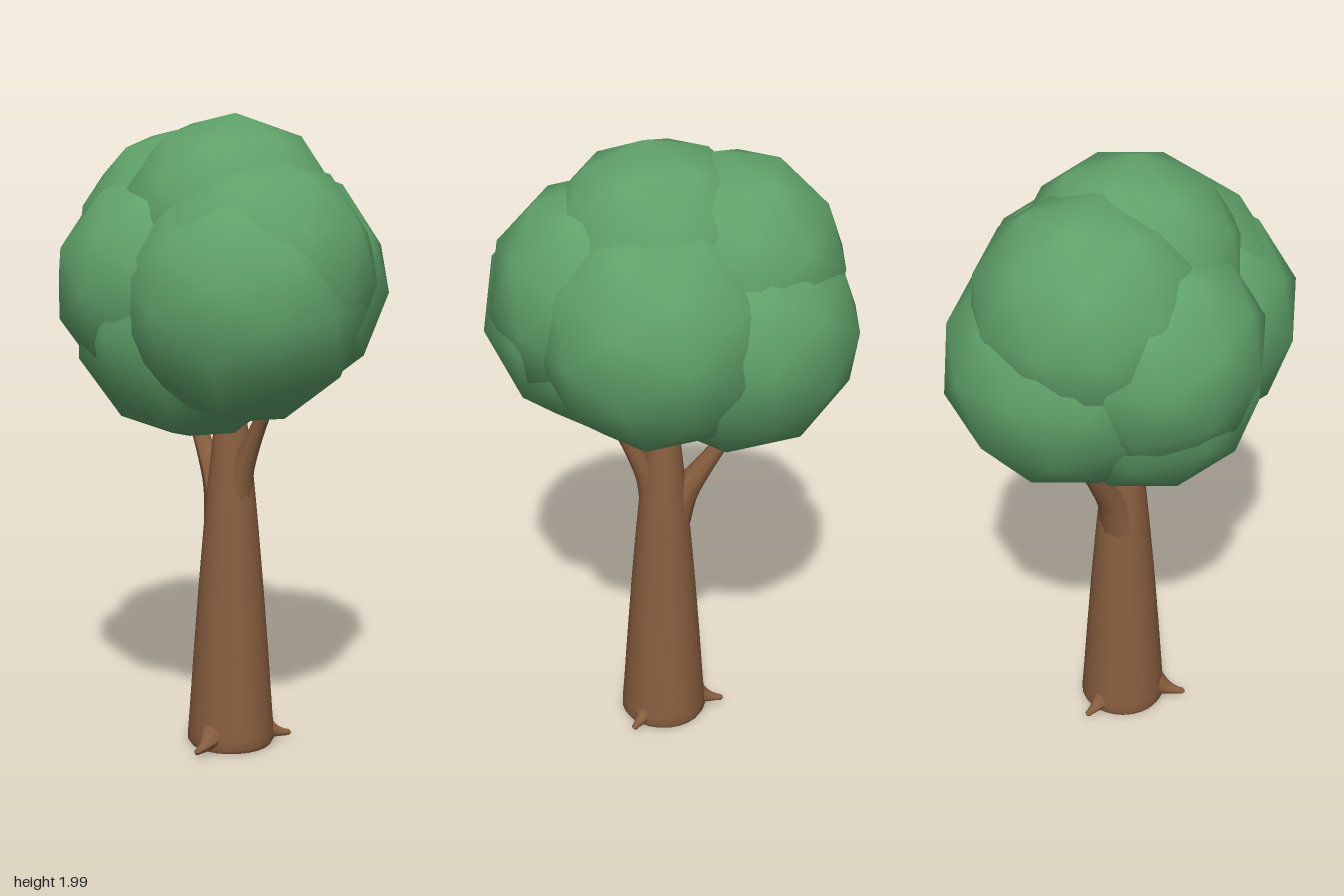
import * as THREE from 'three';

export function createModel() {
  const tree = new THREE.Group();
  tree.name = 'tree';
  const bark = new THREE.MeshStandardMaterial({ color: 0x875d3e });
  const leaf = new THREE.MeshStandardMaterial({ color: 0x60a26a });

  const add = (parent, name, geometry, material) => {
    const mesh = new THREE.Mesh(geometry, material);
    mesh.name = name;
    parent.add(mesh);
    return mesh;
  };

  // Tapering tube along a curve, closed to a point at its tip
  const taper = (points, r0, r1, segments = 12, sides = 10) => {
    const curve = new THREE.CatmullRomCurve3(points.map(p => new THREE.Vector3(...p)));
    const geometry = new THREE.TubeGeometry(curve, segments, 1, sides);
    const pos = geometry.attributes.position;
    const v = new THREE.Vector3();
    for (let i = 0; i < pos.count; i++) {
      const t = Math.floor(i / (sides + 1)) / segments;
      const r = t === 1 ? 0 : r1 + (r0 - r1) * (1 - t) ** 2;
      const c = curve.getPointAt(t);
      v.fromBufferAttribute(pos, i).sub(c).multiplyScalar(r).add(c);
      pos.setXYZ(i, v.x, v.y, v.z);
    }
    geometry.computeVertexNormals();
    return geometry;
  };

  // Trunk: flared foot, long taper, rounded top
  const wood = new THREE.Group();
  wood.name = 'wood';
  tree.add(wood);
  const profile = [
    [0.132, 0.006], [0.14, 0.02], [0.138, 0.05], [0.134, 0.1], [0.12, 0.3], [0.105, 0.5],
    [0.088, 0.7], [0.074, 0.85], [0.058, 1.0], [0.05, 1.05], [0.036, 1.08], [0, 1.09],
  ].map(p => new THREE.Vector2(...p));
  add(wood, 'trunk', new THREE.LatheGeometry(profile, 24), bark).position.set(0.026, 0, -0.004);
  const base = add(wood, 'trunkBase', new THREE.CircleGeometry(0.132, 24), bark);
  base.rotation.x = Math.PI / 2;
  base.position.set(0.026, 0.006, -0.004);

  // Short pointed roots
  for (const [x, z] of [[0.1, 0.2], [0.15, -0.155], [-0.175, -0.03]]) {
    const at = (k, y) => [0.028 + (x - 0.028) * k, y, z * k];
    add(wood, 'root', taper([at(0.5, 0.055), at(0.75, 0.036), at(1, 0.03)], 0.05, 0.01), bark);
  }

  // Two forked branches
  add(wood, 'rightBranch', taper(
    [[0.005, 0.74, 0], [-0.04, 0.84, -0.005], [-0.088, 0.91, -0.01], [-0.15, 1.0, -0.015], [-0.215, 1.1, -0.02]],
    0.07, 0.021), bark);
  add(wood, 'leftBranch', taper(
    [[0.045, 0.8, 0], [0.075, 0.9, -0.005], [0.115, 0.99, -0.012], [0.185, 1.13, -0.02]], 0.058, 0.022), bark);

  // Crown: overlapping faceted balls with smooth shading [x, y, z, radius, turn]
  const crown = new THREE.Group();
  crown.name = 'crown';
  tree.add(crown);
  const balls = {
    frontLeaves: [-0.09, 1.485, 0.15, 0.352, 0.1],
    bottomLeaves: [-0.03, 1.37, 0.1, 0.37, 0.1],
    upperRightLeaves: [-0.17, 1.597, 0.0, 0.362, 0.1],
    lowerRightLeaves: [-0.19, 1.425, -0.07, 0.375, 0.1],
    upperLeftLeaves: [0.18, 1.525, 0.03, 0.37, 0.1],
    lowerLeftLeaves: [0.19, 1.45, 0.09, 0.375, 0.1],
    topLeaves: [0.04, 1.645, 0.01, 0.355, 0.1],
    backLeaves: [0.06, 1.48, -0.125, 0.377, 0.1],
  };
  for (const [name, [x, y, z, r, turn]] of Object.entries(balls)) {
    const ball = add(crown, name, new THREE.IcosahedronGeometry(r, 1), leaf);
    ball.position.set(x, y, z);
    ball.rotation.set(turn * 0.4, turn, -turn);
  }
  return tree;
}
